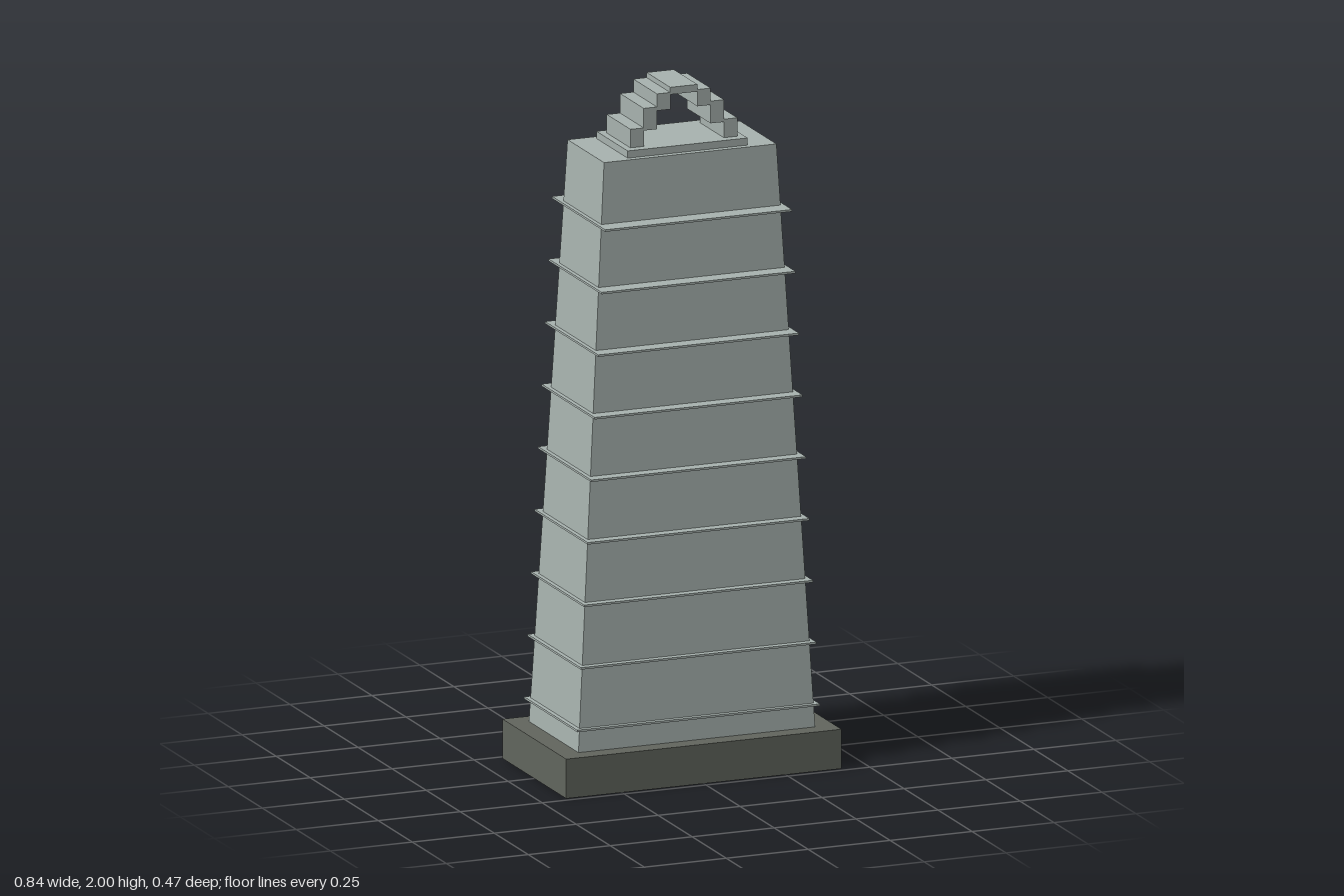
import * as THREE from 'three';

export function createModel() {
  const model = new THREE.Group();
  const stone = new THREE.MeshStandardMaterial({ color: 0xa9b4b0 });
  stone.name = 'pale stone';
  const plinthStone = new THREE.MeshStandardMaterial({ color: 0x62665e });
  plinthStone.name = 'dark stone';

  // Box given by half width, half depth and its bottom and top heights
  const block = (name, hx, hz, y0, y1, material = stone, x = 0, parent = model) => {
    const mesh = new THREE.Mesh(new THREE.BoxGeometry(hx * 2, y1 - y0, hz * 2), material);
    mesh.position.set(x, (y0 + y1) / 2, 0);
    mesh.name = name;
    parent.add(mesh);
    return mesh;
  };

  const H = 1.815; // height of the tower roof
  const lerp = THREE.MathUtils.lerp;

  block('plinth', 0.42, 0.234, 0, 0.115, plinthStone);

  // Tower: a box whose sides lean inward towards the roof
  const tower = block('tower', 1, 1, 0.01, H);
  const pos = tower.geometry.attributes.position;
  for (let i = 0; i < pos.count; i++) {
    const t = pos.getY(i) > 0 ? 1 : 0;
    pos.setX(i, pos.getX(i) * lerp(0.367, 0.263, t));
    pos.setZ(i, pos.getZ(i) * lerp(0.185, 0.134, t));
  }
  tower.geometry.computeVertexNormals();

  // Floor ledges, narrowing with the tower in width only
  const ledges = new THREE.Group();
  ledges.name = 'ledges';
  model.add(ledges);
  for (let i = 1; i <= 9; i++) {
    const y = (H * i) / 10;
    block('ledge', lerp(0.37, 0.285, (i - 1) / 8), 0.195, y - 0.003, y + 0.003, stone, 0, ledges);
  }

  block('roofSlab', 0.183, 0.115, H, 1.836);

  // Stepped arch on the roof: [centre x, bottom, top], mirrored
  const arch = new THREE.Group();
  arch.name = 'steppedArch';
  model.add(arch);
  const steps = [[0.1425, 1.836, 1.89], [0.102, 1.882, 1.947], [0.0615, 1.936, 1.985]];
  for (const side of [-1, 1]) {
    for (const [x, y0, y1] of steps) block('archStep', 0.0205, 0.087, y0, y1, stone, side * x, arch);
  }
  block('archCrown', 0.0415, 0.087, 1.979, 2, stone, 0, arch);

  return model;
}
